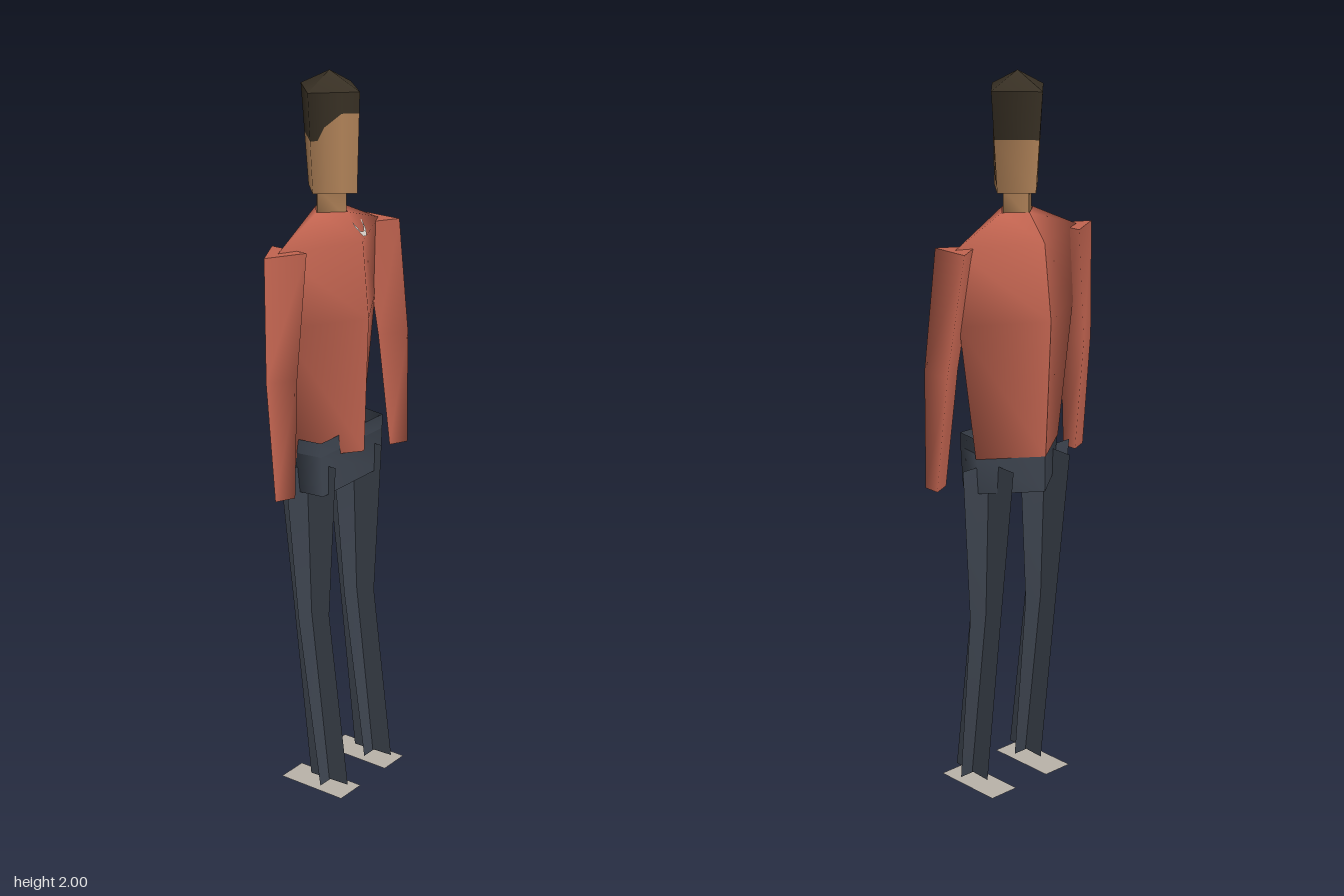
import * as THREE from 'three';

const mat = (name, color) => {
  const m = new THREE.MeshStandardMaterial({ color, side: THREE.DoubleSide });
  m.name = name;
  return m;
};

const CX = 0.01, CZ = -0.013;

// Skin between equal-length rings of [x, y, z] points, smooth along the surface.
function loft(rings, capEnds = false) {
  const n = rings[0].length, idx = [];
  const pos = rings.flat(2);
  for (let r = 0; r < rings.length - 1; r++) {
    for (let i = 0; i < n - 1; i++) {
      const a = r * n + i, b = a + 1, c = a + n, d = c + 1;
      idx.push(a, b, d, a, d, c);
    }
  }
  if (capEnds) {
    [rings[0], rings[rings.length - 1]].forEach((ring, end) => {
      const s = pos.length / 3;
      ring.forEach((p) => pos.push(...p));
      for (let i = 1; i < n - 2; i++) idx.push(s, end ? s + i : s + i + 1, end ? s + i + 1 : s + i);
    });
  }
  const g = new THREE.BufferGeometry();
  g.setAttribute('position', new THREE.Float32BufferAttribute(pos, 3));
  g.setIndex(idx);
  g.computeVertexNormals();
  return g;
}

// Diamond ring, starting and ending at the back seam.
const diamond = (y, w, front, back) => [
  [CX, y, back], [CX - w, y, CZ], [CX, y, front], [CX + w, y, CZ], [CX, y, back],
].reverse();

// Head ring with extra points per side; height may vary around the ring.
const STEPS = [0, 0.35, 0.7, 0.85];
function headPoints() {
  const pts = [[0, -1]];
  const front = [...STEPS, 1];
  front.slice().reverse().forEach((t) => pts.push([t, 1 - t]));
  front.slice(1).forEach((t) => pts.push([-t, 1 - t]));
  pts.push([0, -1]);
  return pts; // right side round the front to the other side
}
function headRing(yOf) {
  return headPoints().map(([u, v]) => {
    const y = yOf(u, v), k = (y - 1.69) / 0.265;
    const w = 0.072 + 0.02 * k;
    const f = 0.076 + 0.007 * k, b = -0.082 - 0.024 * k;
    return [CX + u * w, y, CZ + (v > 0 ? v * (f - CZ) : -v * (b - CZ))];
  });
}
function hairline(u, v) {
  if (v <= 0) return 1.83;
  const t = Math.abs(u);
  return t < 0.5 ? 1.9 : t < 0.8 ? 1.865 : 1.83;
}
// Rounded shading around the head.
function headLoft(lo, hi) {
  const g = loft([headRing(lo), headRing(hi)]);
  const pts = headPoints(), n = pts.length, nor = g.attributes.normal;
  for (let i = 0; i < nor.count; i++) {
    const k = i % n;
    let [u, v] = pts[k];
    if (v < 0) u = k === 0 ? 0.8 : -0.8;
    const l = Math.hypot(u, v);
    nor.setXYZ(i, u / l, 0, v / l);
  }
  return g;
}

export function createModel() {
  const model = new THREE.Group();
  model.name = 'standingFigure';
  const shirt = mat('red shirt', 0xc26450);
  const trousers = mat('slate trousers', 0x3e4550);
  const skin = mat('skin', 0xb08258);
  const hair = mat('dark hair', 0x383024);
  const shoe = mat('pale shoes', 0xbab3a9);
  const trim = mat('necklace', 0xdcd4cc);
  const add = (name, geo, m, parent = model) => {
    const mesh = new THREE.Mesh(geo, m);
    mesh.name = name;
    parent.add(mesh);
    return mesh;
  };

  // Torso and neck
  add('torso', loft([
    diamond(0.985, 0.152, 0.103, -0.122),
    diamond(1.36, 0.207, 0.115, -0.14),
    diamond(1.565, 0.217, 0.095, -0.115),
    diamond(1.637, 0.056, 0.045, -0.058),
  ]), shirt);
  add('neck', loft([
    diamond(1.62, 0.051, 0.042, -0.056),
    diamond(1.7, 0.051, 0.042, -0.056),
  ]), skin);

  // Head: face, hair and pointed crown
  add('face', headLoft(() => 1.69, hairline), skin);
  add('chin', loft([diamond(1.69, 0, CZ, CZ), diamond(1.69, 0.072, 0.076, -0.082)]), skin);
  add('hair', headLoft(hairline, () => 1.955), hair);
  add('crown', loft([
    diamond(1.955, 0.092, 0.083, -0.106), diamond(2, 0.0005, CZ + 0.0005, CZ - 0.0005),
  ]), hair);

  // Necklace strip lying on the upper chest
  const chest = (x, y) => {
    const v = (y - 1.565) / 0.072;
    const w = 0.217 - 0.161 * v, f = 0.095 - 0.05 * v;
    return [x, y, CZ + (f - CZ) * (1 - Math.abs(x - CX) / w) + 0.008];
  };
  const arc = [[0.004, 1.603], [0.018, 1.577], [0.045, 1.571], [0.07, 1.58], [0.09, 1.6]];
  add('necklace', loft([
    arc.map(([x, y]) => chest(x, y)),
    arc.map(([x, y]) => chest(x, y + 0.011)),
  ]), trim);

  // Hips, tapering to a point at the back
  const hipRing = (y, w, side) => [
    [CX, y, -0.12], [CX + side, y, CZ], [CX + w, y, 0.063],
    [CX - w, y, 0.063], [CX - side, y, CZ], [CX, y, -0.12],
  ];
  add('hips', loft([hipRing(0.885, 0.13, 0.14), hipRing(1.0, 0.138, 0.15)]), trousers);
  const tabs = hipRing(1.0, 0.138, 0.15).slice(1, 5);
  add('waistband', loft([tabs, tabs.map(([x, , z]) => [x, 1.04, z])]), trousers);

  // Arms: three-sided tubes, [y, tip x, tip z, flat x, back z, front z]
  const arms = {
    leftArm: [[0.917, 0.23, 0.03, 0.28, 0.008, 0.055], [1.24, 0.207, 0.005, 0.281, -0.037, 0.052],
      [1.565, 0.155, -0.015, 0.248, -0.07, 0.042]],
    rightArm: [[0.917, -0.282, 0.03, -0.23, 0.008, 0.055], [1.24, -0.284, 0.005, -0.215, -0.037, 0.052],
      [1.565, -0.262, -0.015, -0.16, -0.07, 0.042]],
  };
  for (const [name, rows] of Object.entries(arms)) {
    add(name, loft(rows.map(([y, tx, tz, fx, b, f]) => [
      [tx, y, tz], [fx, y, f], [fx, y, b], [tx, y, tz],
    ]), true), shirt);
  }

  // Legs: two crossed bent sheets each, with a flat shoe
  const rows = [ // y, half width, front z, back z
    [0.015, 0.042, 0.13, 0.002], [0.52, 0.058, 0.065, -0.055], [0.96, 0.093, 0.087, -0.106],
  ];
  for (const [side, x] of [['left', 0.112], ['right', -0.096]]) {
    const leg = new THREE.Group();
    leg.name = side + 'Leg';
    model.add(leg);
    add('legFrontSheet', loft(rows.map(([y, w, f, b]) => {
      const z = (f + b) / 2;
      return [[x - w, y, z], [x + w, y, z]];
    })), trousers, leg);
    add('legSideSheet', loft(rows.map(([y, , f, b]) => [[x, y + 0.006, f], [x, y, b]])), trousers, leg);
    const sole = new THREE.PlaneGeometry(0.091, 0.208).rotateX(-Math.PI / 2);
    add('shoe', sole, shoe, leg).position.set(x + 0.001, 0.001, 0.036);
  }
  return model;
}
